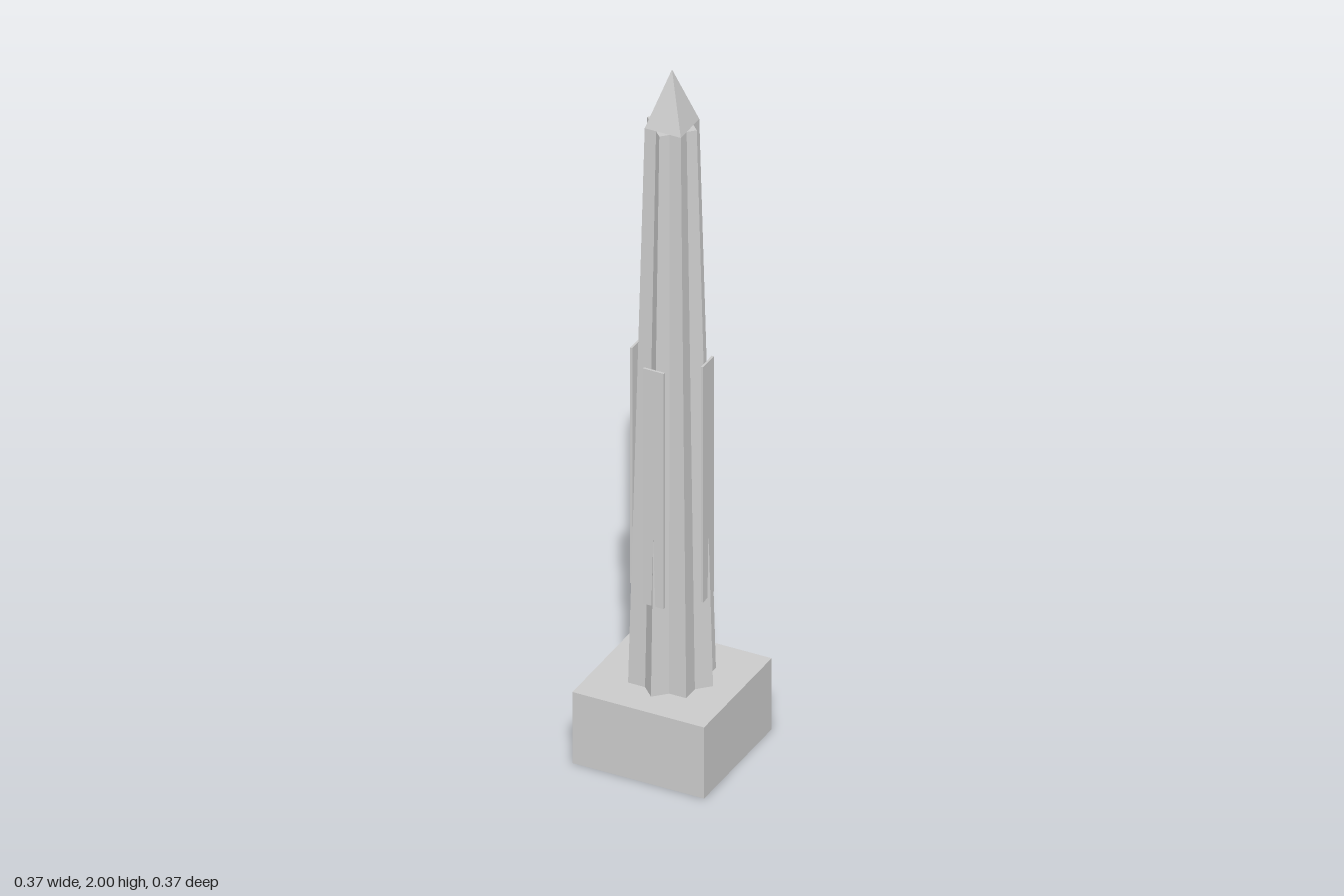
import * as THREE from 'three';

export function createModel() {
  const model = new THREE.Group();
  model.name = 'obelisk';
  const stone = new THREE.MeshStandardMaterial({ color: 0xcccccc });
  stone.name = 'pale grey stone';

  const baseTop = 0.21, shaftTop = 1.84, tipTop = 2;
  const shaftH = shaftTop - baseTop;

  const add = (name, geometry, y, parent = model) => {
    const mesh = new THREE.Mesh(geometry, stone);
    mesh.name = name;
    mesh.position.y = y;
    parent.add(mesh);
    return mesh;
  };

  // Four-sided taper with flat faces; r is the corner distance from the axis
  const taper = (rTop, rBottom, h) => {
    const g = new THREE.CylinderGeometry(rTop, rBottom, h, 4).toNonIndexed();
    g.computeVertexNormals();
    return g;
  };

  // Pedestal, square shaft and pointed cap
  add('pedestal', new THREE.BoxGeometry(0.372, baseTop, 0.372), baseTop / 2);
  add('shaft', taper(0.051 * Math.SQRT2, 0.082 * Math.SQRT2, shaftH).rotateY(Math.PI / 4),
    baseTop + shaftH / 2);
  add('tip', taper(0, 0.051 * Math.SQRT2, tipTop - shaftTop).rotateY(Math.PI / 4),
    (shaftTop + tipTop) / 2);

  // Each side: a diamond rib leaning with the shaft face, and a slim upright panel
  for (let i = 0; i < 4; i++) {
    const side = new THREE.Group();
    side.name = 'side' + (i + 1);
    side.rotation.y = i * Math.PI / 2;
    model.add(side);

    const rib = taper(0.02, 0.034, shaftH);
    const p = rib.attributes.position;
    for (let v = 0; v < p.count; v++) {
      p.setZ(v, p.getZ(v) + (p.getY(v) > 0 ? 0.05 : 0.082));
    }
    rib.computeVertexNormals();
    add('rib', rib, baseTop + shaftH / 2, side);

    add('panel', new THREE.BoxGeometry(0.059, 0.695, 0.006), 0.8175, side).position.z = 0.1;
  }
  return model;
}
